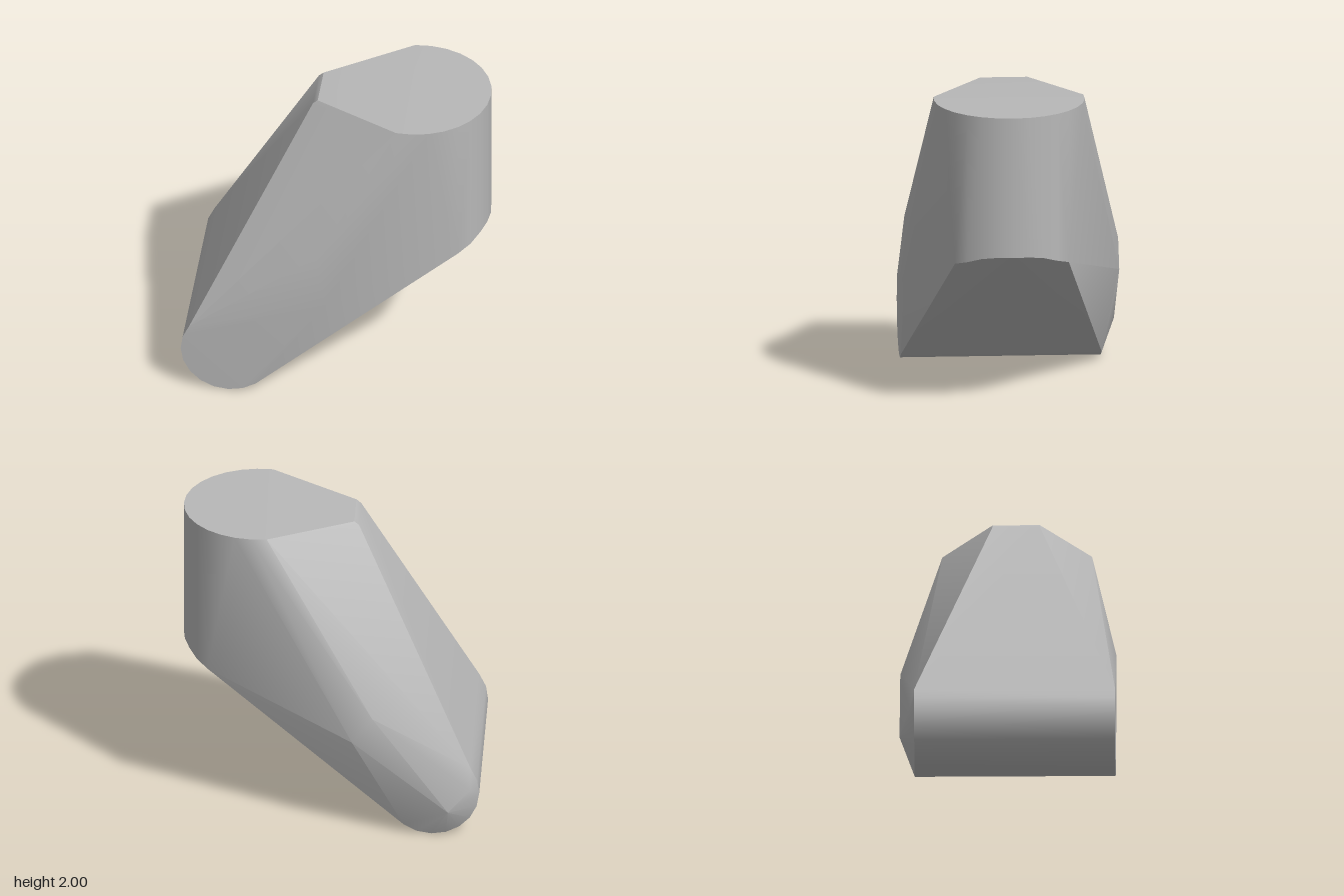
import * as THREE from 'three';
import { ConvexGeometry } from 'three/addons/geometries/ConvexGeometry.js';
import { toCreasedNormals } from 'three/addons/utils/BufferGeometryUtils.js';

export function createModel() {
  const group = new THREE.Group();
  const grey = new THREE.MeshStandardMaterial({ color: 0xb8b8b8 });
  grey.name = 'grey';

  const points = [];
  const add = (x, y, z) => points.push(new THREE.Vector3(x, y, z));

  // Upright rounded end: flat top rim, with a lower rim along the sloping underside
  const R = 0.48, cx = 0.47, cz = 0.05;
  for (let i = -8; i <= 8; i++) {
    const a = THREE.MathUtils.degToRad(i * 12.25);
    const x = cx + R * Math.cos(a), dz = R * Math.sin(a);
    add(x, 2, cz + dz);
    if (Math.abs(i) <= 4) add(x, 1.08 - Math.max(0, Math.abs(dz) - 0.16) * 0.38, cz + dz);
  }

  // Narrow ridge at the tip of the top
  for (const z of [-0.1, 0.2]) {
    add(-0.17, 1.945, z);
    add(-0.14, 1.97, z);
  }

  // Lying rounded foot, running front to back
  const r = 0.3;
  for (let i = 0; i <= 9; i++) {
    const a = THREE.MathUtils.degToRad(145 + i * 18);
    const x = -0.655 + r * Math.cos(a), y = 0.3 + r * Math.sin(a);
    add(x, y, 0.685);
    add(x, y, -0.59);
  }

  // Corners of the flat front side
  add(-0.09, 1.08, 0.685);
  add(-0.03, 0.72, 0.685);

  // Corners of the bulging back side
  add(-0.9, 0.33, -0.62);
  add(-0.76, 0.2, -0.685);
  add(-0.28, 0.86, -0.685);
  add(-0.15, 0.69, -0.685);

  const body = new THREE.Mesh(toCreasedNormals(new ConvexGeometry(points), 0.5), grey);
  body.name = 'body';
  group.add(body);
  return group;
}
